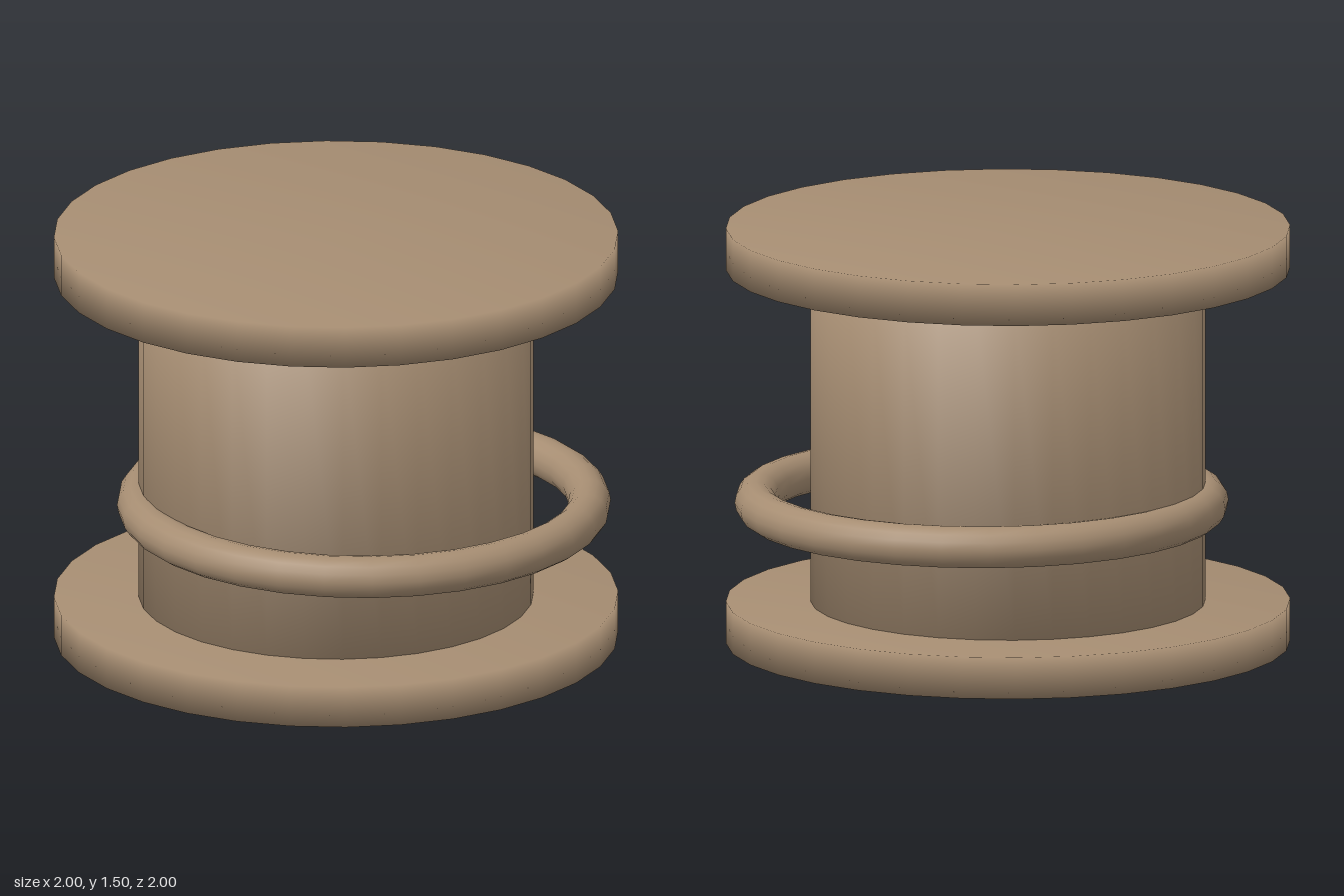
import * as THREE from 'three';

const SIDES = 32;

export function createModel() {
  const group = new THREE.Group();
  const material = new THREE.MeshStandardMaterial({ color: 0xa68d72 });

  const add = (name, geometry, x, y) => {
    const mesh = new THREE.Mesh(geometry, material);
    mesh.name = name;
    mesh.position.set(x, y, 0);
    group.add(mesh);
    return mesh;
  };

  // Closed drum whose normals blend softly across the rims
  const drum = (radius, height) => new THREE.LatheGeometry(
    [[0, 0], [radius, 0], [radius, height], [0, height]].map(([r, y]) => new THREE.Vector2(r, y)),
    SIDES
  );

  // Spool: two wide flanges joined by a core
  add('bottomFlange', drum(1, 0.15), 0, 0);
  add('core', drum(0.7, 1.2), 0, 0.15);
  add('topFlange', drum(1, 0.15), 0, 1.35);

  // Loose ring hanging off-centre around the core
  const ring = new THREE.TorusGeometry(0.8, 0.075, 16, SIDES).rotateX(-Math.PI / 2);
  add('ring', ring, 0.1, 0.5);

  return group;
}
